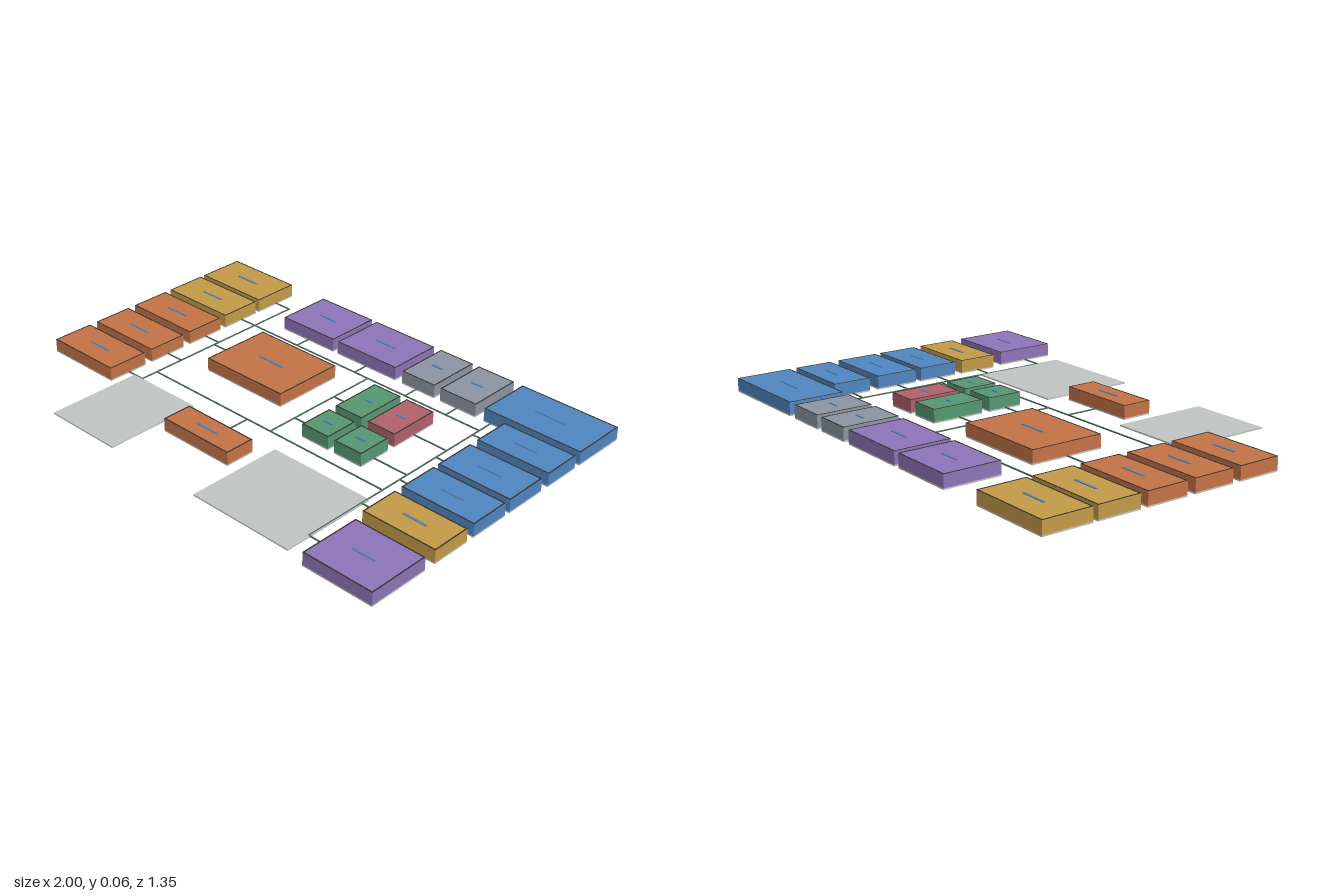
import * as THREE from 'three';

const mat = (name, color) => {
  const m = new THREE.MeshStandardMaterial({ color });
  m.name = name;
  return m;
};

export function createModel() {
  const model = new THREE.Group();
  model.name = 'sitePlan';
  const M = {
    gold: mat('gold', 0xc69d48),
    orange: mat('orange', 0xc67446),
    purple: mat('purple', 0x9075ba),
    slate: mat('slate', 0x8e96a4),
    blue: mat('blue', 0x5087c2),
    green: mat('green', 0x569a73),
    red: mat('rose', 0xb3626b),
    pad: mat('paleConcrete', 0xc2c6c4),
    trim: mat('darkTrim', 0x35322f),
    path: mat('pathGreen', 0x4c7060),
  };

  // box spanning x0..x1, y0..y1, z0..z1
  function block(parent, name, material, x0, x1, y0, y1, z0, z1) {
    const mesh = new THREE.Mesh(new THREE.BoxGeometry(x1 - x0, y1 - y0, z1 - z0), material);
    mesh.position.set((x0 + x1) / 2, (y0 + y1) / 2, (z0 + z1) / 2);
    mesh.name = name;
    parent.add(mesh);
  }

  // thin rectangular border lying on a roof
  function border(parent, name, material, x0, x1, z0, z1, y, w) {
    const s = new THREE.Shape([[x0, -z1], [x1, -z1], [x1, -z0], [x0, -z0]].map(p => new THREE.Vector2(...p)));
    s.holes.push(new THREE.Path([[x0 + w, -z1 + w], [x0 + w, -z0 - w], [x1 - w, -z0 - w], [x1 - w, -z1 + w]]
      .map(p => new THREE.Vector2(...p))));
    const g = new THREE.ExtrudeGeometry(s, { depth: 0.001, bevelEnabled: false });
    const mesh = new THREE.Mesh(g.rotateX(-Math.PI / 2), material);
    mesh.position.y = y;
    mesh.name = name;
    parent.add(mesh);
  }

  // rooms: colour, x0, x1, z0, z1
  const rooms = [
    ['gold', -1, -0.66, -0.675, -0.475],
    ['gold', -1, -0.66, -0.455, -0.28],
    ['orange', -1, -0.66, -0.25, -0.08],
    ['orange', -1, -0.66, -0.045, 0.125],
    ['orange', -1, -0.66, 0.16, 0.335],
    ['purple', -0.475, -0.2, -0.675, -0.44],
    ['purple', -0.175, 0.13, -0.675, -0.44],
    ['slate', 0.165, 0.325, -0.675, -0.44],
    ['slate', 0.355, 0.525, -0.675, -0.44],
    ['blue', 0.565, 0.995, -0.675, -0.44],
    ['blue', 0.68, 0.995, -0.41, -0.25],
    ['blue', 0.68, 0.995, -0.21, -0.03],
    ['blue', 0.68, 0.995, -0.005, 0.165],
    ['gold', 0.68, 0.995, 0.2, 0.365],
    ['purple', 0.695, 0.995, 0.415, 0.67],
    ['orange', -0.45, -0.05, -0.29, 0.015],
    ['orange', -0.235, 0.1, 0.31, 0.435],
    ['green', 0.155, 0.285, -0.29, -0.07],
    ['red', 0.315, 0.445, -0.29, -0.07],
    ['green', 0.155, 0.285, 0.04 - 0.0, 0.11].map((v, i) => (i === 3 ? 0.04 - 0.005 - 0.07 + 0.07 - 0.07 : v)),
    ['green', 0.315, 0.445, -0.035, 0.11],
  ];
  for (const [colour, x0, x1, z0, z1] of rooms) {
    const room = new THREE.Group();
    room.name = colour + 'Room';
    block(room, 'floorSlab', M.pad, x0, x1, 0, 0.006, z0, z1);
    block(room, 'roomBlock', M[colour], x0, x1, 0.006, 0.055, z0, z1);
    border(room, 'roofEdge', M.trim, x0, x1, z0, z1, 0.055, 0.005);
    // plain marker on the roof
    const cx = (x0 + x1) / 2, cz = (z0 + z1) / 2, w = (x1 - x0) * 0.16;
    block(room, 'roofMarker', M.blue, cx - w, cx + w, 0.055, 0.058, cz - 0.004, cz + 0.004);
    model.add(room);
  }

  // open courts
  block(model, 'leftCourt', M.pad, -0.625, -0.285, 0, 0.006, 0.245, 0.645);
  block(model, 'rightCourt', M.pad, 0.15, 0.605, 0, 0.006, 0.245, 0.645);

  // connecting paths: x0, z0, x1, z1
  const paths = [
    [-0.58, -0.575, -0.58, 0.245], [-0.66, -0.37, 0.6, -0.37], [0.6, -0.44, 0.6, 0.54],
    [-0.58, 0.17, 0.6, 0.17], [0.05, -0.37, 0.05, 0.17], [-0.07, 0.17, -0.07, 0.31],
    [-0.58, -0.14, -0.45, -0.14], [0.05, -0.175, 0.155, -0.175], [0.05, 0.04, 0.155, 0.04],
    [0.445, -0.18, 0.6, -0.18], [0.445, 0.04, 0.6, 0.04],
  ];
  for (const z of [-0.575, -0.165, 0.04, 0.245]) paths.push([-0.66, z, -0.58, z]);
  for (const z of [-0.33, -0.12, 0.08, 0.28, 0.54]) paths.push([0.6, z, 0.69, z]);
  for (const x of [-0.335, -0.02, 0.24, 0.44]) paths.push([x, -0.44, x, -0.37]);
  const h = 0.002;
  for (const [x0, z0, x1, z1] of paths) {
    block(model, 'path', M.path, x0 - h, x1 + h, 0.003, 0.008, z0 - h, z1 + h);
  }
  return model;
}
